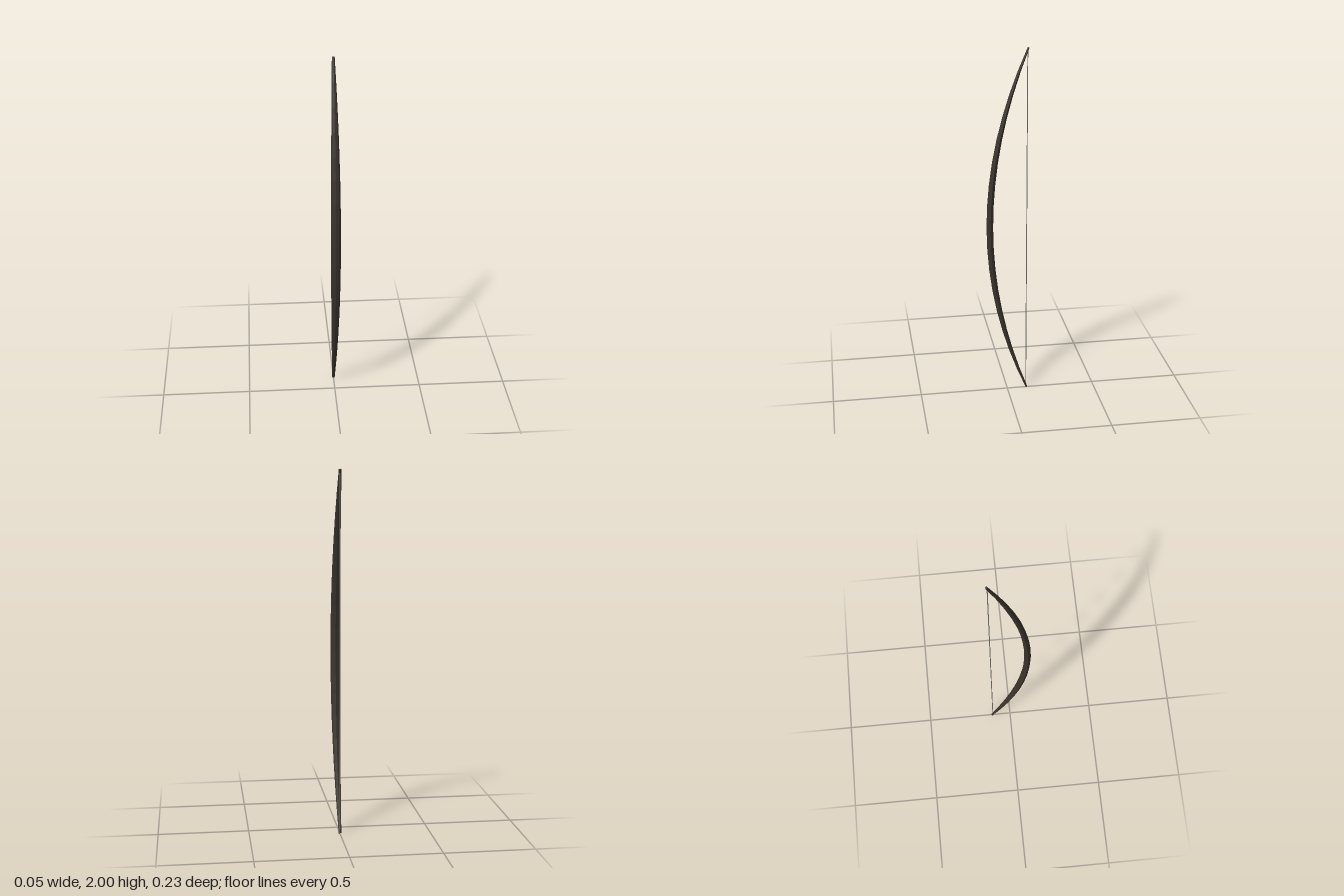
import * as THREE from 'three';

const SIDES = 8, STEPS = 16, HALF = 0.997;

// Limb built from tapered elliptical rings, swept along a shallow arc
function limbGeometry() {
  const pos = [], index = [];
  for (let i = 0; i <= STEPS; i++) {
    const t = (i / STEPS) * 2 - 1;
    const rx = 0.027 - 0.0195 * t * t;
    const rz = rx * 0.68;
    const tilt = Math.atan(0.418 * t); // keeps each ring square to the arc
    const cy = 1 + HALF * t, cz = 0.097 - 0.209 * t * t;
    for (let j = 0; j < SIDES; j++) {
      const a = (j / SIDES) * Math.PI * 2;
      const d = Math.cos(a) * rz;
      pos.push(Math.sin(a) * rx, cy + d * Math.sin(tilt), cz + d * Math.cos(tilt));
    }
  }
  for (let i = 0; i < STEPS; i++) {
    for (let j = 0; j < SIDES; j++) {
      const k = (j + 1) % SIDES;
      const a = i * SIDES + j, b = i * SIDES + k;
      index.push(a, b, b + SIDES, a, b + SIDES, a + SIDES);
    }
  }
  // End caps
  const top = STEPS * SIDES;
  for (let j = 1; j < SIDES - 1; j++) {
    index.push(0, j + 1, j, top, top + j, top + j + 1);
  }
  const g = new THREE.BufferGeometry();
  g.setAttribute('position', new THREE.Float32BufferAttribute(pos, 3));
  g.setIndex(index);
  const flat = g.toNonIndexed();
  flat.computeVertexNormals();
  return flat;
}

export function createModel() {
  const wood = new THREE.MeshStandardMaterial({ color: 0x3b342c });
  wood.name = 'darkWood';
  const cord = new THREE.MeshStandardMaterial({ color: 0x7a7a78 });
  cord.name = 'greyCord';

  const model = new THREE.Group();
  model.name = 'bow';

  const limb = new THREE.Mesh(limbGeometry(), wood);
  limb.name = 'bowLimb';
  model.add(limb);

  // Taut string between the two tips
  const string = new THREE.Mesh(new THREE.CylinderGeometry(0.0025, 0.0025, 1.98, 6), cord);
  string.name = 'bowString';
  string.position.set(0, 1, -0.108);
  model.add(string);

  return model;
}
